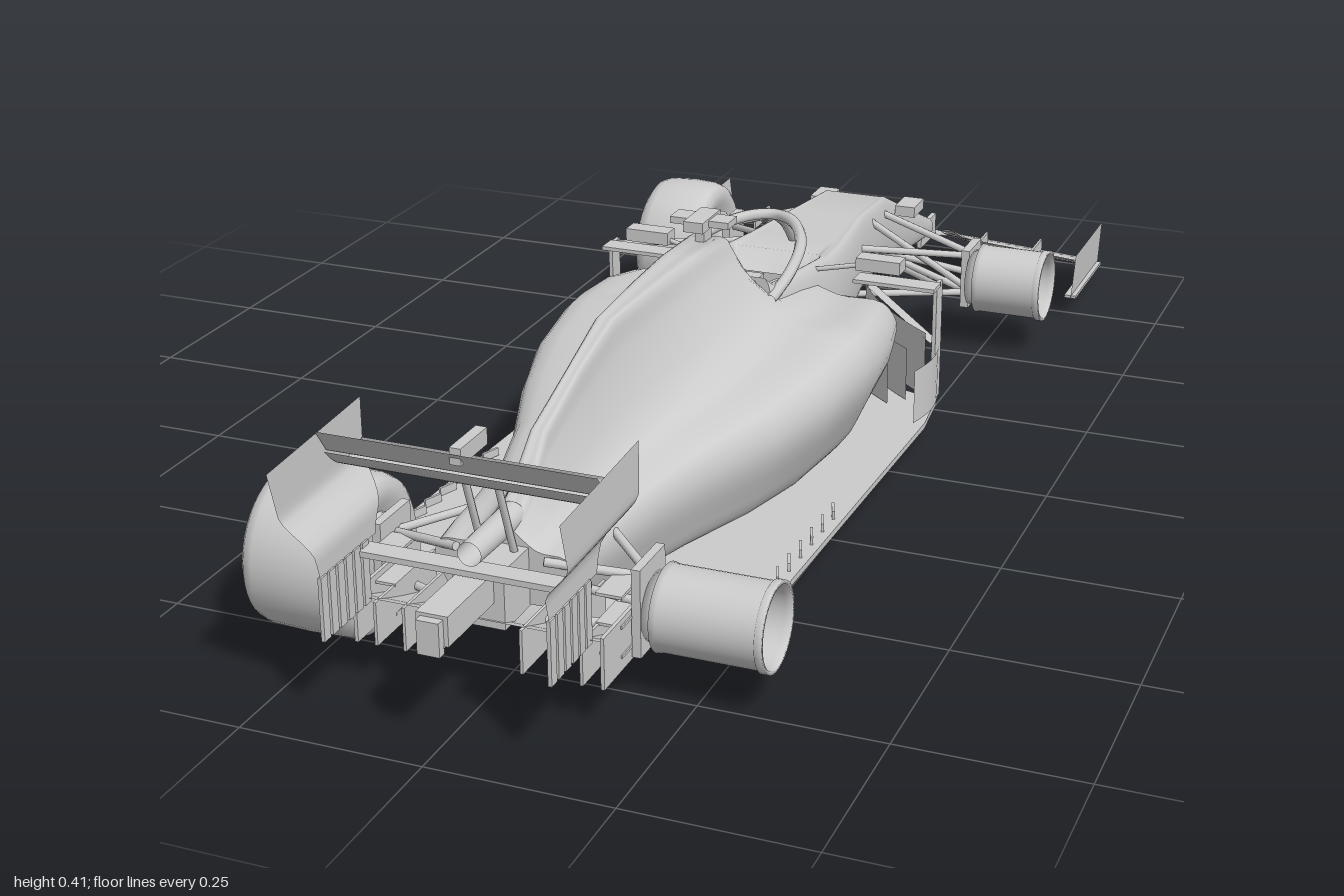
import * as THREE from 'three';
import { ParametricGeometry } from 'three/addons/geometries/ParametricGeometry.js';

const grey = new THREE.MeshStandardMaterial({ color: 0xcccccc, side: THREE.DoubleSide });
grey.name = 'paleGrey';
const lerp = THREE.MathUtils.lerp, smooth = THREE.MathUtils.smoothstep;
const V = (x, y, z) => new THREE.Vector3(x, y, z);

export function createModel() {
  const car = new THREE.Group();
  car.name = 'openWheelRaceCar';
  const add = (name, geo, x = 0, y = 0, z = 0) => {
    const m = new THREE.Mesh(geo, grey);
    m.name = name;
    m.position.set(x, y, z);
    car.add(m);
    return m;
  };
  const box = (name, w, h, d, x, y, z) => add(name, new THREE.BoxGeometry(w, h, d), x, y, z);
  const both = (fn) => [1, -1].forEach(fn);
  const sheet = (name, fn, nu = 8, nv = 8) =>
    add(name, new ParametricGeometry((u, v, t) => t.set(...fn(u, v)), nu, nv));
  // Closed aerofoil: the chord is walked back along the underside, then forward to back on top
  const foil = (name, thick, fn, nu, nv = 16) => sheet(name, (u, v) => {
    const c = Math.abs(2 * v - 1), p = fn(u, c);
    if (v < 0.5) p[1] -= thick * Math.sin(Math.PI * Math.sqrt(c));
    return p;
  }, nu, nv);

  // Straight strut between two points
  const rod = (name, a, b, r = 0.006) => {
    const d = b.clone().sub(a);
    const m = add(name, new THREE.CylinderGeometry(r, r, d.length(), 8), ...a.clone().add(b).multiplyScalar(0.5));
    m.quaternion.setFromUnitVectors(V(0, 1, 0), d.normalize());
  };

  // Symmetric skin over half profiles placed along z
  const loft = (name, sections, profile) => {
    const half = 28, row = 2 * half + 1, pos = [], idx = [];
    const halves = sections.map((s) => {
      const c = new THREE.CatmullRomCurve3(profile(s), false, 'centripetal');
      return Array.from({ length: half + 1 }, (_, i) => c.getPoint(i / half));
    });
    halves.forEach((h, k) => {
      const z = sections[k][0];
      for (let i = 0; i <= half; i++) pos.push(h[i].x, h[i].y, z);
      for (let i = half - 1; i >= 0; i--) pos.push(-h[i].x, h[i].y, z);
      if (k) for (let i = 0; i < row - 1; i++) {
        const a = (k - 1) * row + i, b = a + row;
        idx.push(a, a + 1, b, a + 1, b + 1, b);
      }
    });
    // End caps join the left and right halves
    [0, sections.length - 1].forEach((k) => {
      const base = pos.length / 3;
      for (let i = 0; i < row; i++) pos.push(...pos.slice((k * row + i) * 3, (k * row + i) * 3 + 3));
      for (let i = 0; i < half; i++) {
        const a = base + i, b = base + row - 1 - i;
        const f = [a, b, a + 1, a + 1, b, b - 1];
        idx.push(...(k ? f.reverse() : f));
      }
    });
    const g = new THREE.BufferGeometry();
    g.setAttribute('position', new THREE.Float32BufferAttribute(pos, 3));
    g.setIndex(idx);
    g.computeVertexNormals();
    add(name, g);
  };

  // Nose, tub and cockpit opening: z, half width, bottom, top, centre top
  loft('noseAndTub', [
    [-0.955, 0.03, 0.05, 0.066], [-0.92, 0.046, 0.053, 0.084], [-0.77, 0.053, 0.075, 0.15],
    [-0.6, 0.062, 0.11, 0.225], [-0.45, 0.07, 0.11, 0.238], [-0.3, 0.092, 0.1, 0.243],
    [-0.215, 0.102, 0.09, 0.25], [-0.195, 0.103, 0.09, 0.252, 0.17], [-0.05, 0.107, 0.08, 0.275, 0.16],
    [0.03, 0.1, 0.07, 0.285, 0.17], [0.045, 0.09, 0.07, 0.3],
  ], ([, w, b, t, c = t]) => [V(0, b, 0), V(w * 0.85, b, 0), V(w, lerp(b, t, 0.3), 0),
    V(w * 0.97, lerp(b, t, 0.78), 0), V(w * 0.84, t, 0), V(w * 0.72, t, 0),
    V(w * 0.64, lerp(t, c, 0.8), 0), V(0, c, 0)]);

  // Sidepods and engine cover: z, half width, bottom, shoulder, spine width, spine top, centre top
  loft('sidepodsAndEngineCover', [
    [-0.12, 0.228, 0.1, 0.222, 0.09, 0.245, 0.16], [-0.05, 0.243, 0.07, 0.232, 0.09, 0.265, 0.16],
    [0.03, 0.247, 0.05, 0.235, 0.085, 0.28, 0.17], [0.05, 0.247, 0.05, 0.235, 0.065, 0.31],
    [0.08, 0.246, 0.05, 0.234, 0.045, 0.368], [0.2, 0.23, 0.05, 0.225, 0.038, 0.376],
    [0.32, 0.195, 0.052, 0.212, 0.03, 0.376], [0.45, 0.145, 0.058, 0.2, 0.02, 0.373],
    [0.55, 0.118, 0.064, 0.19, 0.015, 0.34], [0.66, 0.105, 0.075, 0.187, 0.016, 0.298],
    [0.72, 0.1, 0.09, 0.186, 0.02, 0.24], [0.77, 0.095, 0.115, 0.182, 0.022, 0.21],
  ], ([, w, b, s, wt, t, c = t]) => [V(0, b, 0), V(w * 0.75, b, 0), V(w * 0.9, lerp(b, s, 0.3), 0),
    V(w, lerp(b, s, 0.72), 0), V(w * 0.9, s, 0), V(lerp(wt, w, 0.35), lerp(s, t, 0.14), 0),
    V(wt, lerp(s, t, 0.75), 0), V(wt * 0.6, t, 0), V(0, c, 0)]);

  // Floor and plank, tilted nose-down, with edge fins
  const slab = (name, pts, thick, y0) => {
    const shape = new THREE.Shape([...pts, ...pts.map(([x, z]) => [-x, z]).reverse()]
      .map(([x, z]) => new THREE.Vector2(x, z)));
    const g = new THREE.ExtrudeGeometry(shape, { depth: thick, bevelEnabled: false });
    g.rotateX(Math.PI / 2 - 0.029);
    add(name, g, 0, y0, 0);
  };
  slab('floor', [[0.06, -0.4], [0.1, -0.38], [0.14, -0.25], [0.27, -0.2], [0.282, -0.1],
    [0.282, 0.58], [0.26, 0.61], [0.19, 0.62], [0.17, 0.7]], 0.009, 0.047);
  slab('plank', [[0.04, -0.39], [0.075, -0.33], [0.075, 0.6], [0.05, 0.66]], 0.012, 0.042);
  box('splitterKeel', 0.1, 0.09, 0.3, 0, 0.08, -0.22);
  both((s) => {
    for (let i = 0; i < 7; i++)
      box('floorEdgeFin', 0.004, 0.012, 0.03, s * 0.265, 0.062 + i * 0.0012, 0.28 + i * 0.045).rotation.y = s * 0.35;
  });

  // Airbox camera, headrest and halo
  box('cameraPost', 0.014, 0.04, 0.03, 0, 0.38, 0.1);
  box('cameraBar', 0.09, 0.01, 0.035, 0, 0.4, 0.1);
  box('cameraPod', 0.03, 0.016, 0.07, 0, 0.4, 0.105);
  box('headrest', 0.12, 0.06, 0.05, 0, 0.265, 0.035);
  const hoop = [V(0.085, 0.27, 0.05), V(0.09, 0.29, -0.02), V(0.075, 0.307, -0.11), V(0.035, 0.314, -0.18)];
  const haloPath = new THREE.CatmullRomCurve3([...hoop, V(0, 0.314, -0.2),
    ...hoop.map((p) => V(-p.x, p.y, p.z)).reverse()]);
  add('haloHoop', new THREE.TubeGeometry(haloPath, 48, 0.009, 8));
  add('haloPillar', new THREE.TubeGeometry(new THREE.CatmullRomCurve3(
    [V(0, 0.312, -0.2), V(0, 0.285, -0.245), V(0, 0.24, -0.29)]), 12, 0.007, 8));

  // Front wing: four stacked elements each side
  const wingBack = (x) => lerp(-0.91, -0.785, smooth(x, 0.04, 0.15)) + 0.05 * Math.max(0, (x - 0.1) / 0.25);
  both((s) => {
    [[0, 0.4], [0.4, 0.61], [0.61, 0.81], [0.81, 1]].forEach(([v0, v1], i) =>
      foil('frontWingElement', i ? 0.003 : 0.007, (u, v) => {
        const x = lerp(i ? 0.07 : 0, 0.352, u), c = lerp(v0, v1, v);
        const y = 0.038 + 0.056 * c ** 1.4 * smooth(x, 0.02, 0.13) + i * 0.004;
        return [s * x, y, lerp(-1 + 0.18 * x, wingBack(x), c)];
      }, 20, 12));
    sheet('frontEndplate', (u, v) => [s * lerp(0.352, 0.358, v), lerp(0.033, 0.113, v),
      lerp(lerp(-0.938, -0.93, v), -0.735, u)], 4, 4);
    box('frontEndplateFoot', 0.02, 0.005, 0.19, s * 0.35, 0.035, -0.835);
    box('wingPylon', 0.008, 0.04, 0.09, s * 0.034, 0.06, -0.92);
    [0.16, 0.26].forEach((x) => box('flapBracket', 0.004, 0.02, 0.08, s * x, 0.075, -0.84));
    box('noseCamera', 0.035, 0.018, 0.055, s * 0.077, 0.19, -0.665);
    box('noseCameraStalk', 0.03, 0.006, 0.02, s * 0.058, 0.187, -0.665);
  });

  // Rear wing, endplates, pylons and tail
  foil('rearWingMainPlane', 0.008, (u, v) => [lerp(-0.185, 0.185, u),
    0.308 + 0.017 * v - 0.075 * v * (1 - v), 0.78 + 0.09 * v], 2, 28);
  foil('rearWingFlap', 0.003, (u, v) => [lerp(-0.185, 0.185, u), 0.325 + 0.035 * v, 0.864 + 0.026 * v ** 1.2], 2, 16);
  box('flapActuator', 0.015, 0.022, 0.07, 0, 0.355, 0.85);
  both((s) => {
    sheet('rearEndplate', (u, v) => {
      const y = lerp(0.2, 0.355, v);
      return [s * lerp(0.15, 0.187, smooth(y, 0.23, 0.29)), y + 0.006 * (1 - 2 * u) * v,
        lerp(lerp(0.82, 0.775, smooth(v, 0, 0.6)), lerp(0.955, 0.998, v), u)];
    }, 2, 14);
    for (let i = 0; i < 6; i++) box('endplateFringe', 0.005, 0.085, 0.015, s * 0.15, 0.16, 0.85 + i * 0.02);
    rod('rearWingPylon', V(s * 0.022, 0.18, 0.78), V(s * 0.022, 0.292, 0.82), 0.005);
    [0.06, 0.1, 0.14].forEach((x) => box('diffuserStrake', 0.004, 0.06, 0.16, s * x, 0.09, 0.77));
    box('diffuserSide', 0.005, 0.07, 0.17, s * 0.168, 0.095, 0.765);
  });
  box('rearBeam', 0.3, 0.008, 0.03, 0, 0.192, 0.85);
  sheet('diffuser', (u, v) => [lerp(-0.17, 0.17, u), 0.062 + 0.063 * v ** 1.3, lerp(0.66, 0.85, v)], 2, 8);
  box('gearboxCasing', 0.07, 0.08, 0.1, 0, 0.15, 0.79);
  box('crashStructure', 0.042, 0.04, 0.16, 0, 0.165, 0.88);
  box('rearLight', 0.03, 0.045, 0.012, 0, 0.158, 0.966);
  const exhaust = add('exhaust', new THREE.CylinderGeometry(0.016, 0.018, 0.12, 20, 1, true), 0, 0.216, 0.8);
  exhaust.rotation.x = Math.PI / 2;

  // Bargeboards, deflectors and mirrors
  both((s) => {
    for (let i = 0; i < 3; i++) sheet('bargeboard', (u, v) => [
      s * (lerp(0.09, 0.25, u * u * 0.5 + u * 0.5) - i * 0.022), lerp(0.045, 0.15 - i * 0.02, v),
      lerp(-0.39, -0.2, u) + i * 0.025], 8, 2);
    sheet('upperVane', (u, v) => [s * lerp(0.1, 0.262, u), lerp(0.15, 0.14, u),
      lerp(-0.39, -0.21, u) + 0.025 * v], 6, 2);
    sheet('sideDeflector', (u, v) => [s * (0.268 + 0.012 * Math.sin(u * 3)), lerp(0.05, 0.135, v),
      lerp(-0.215, -0.08, u)], 8, 2);
    box('deflectorPost', 0.006, 0.19, 0.03, s * 0.27, 0.145, -0.19);
    box('deflectorArm', 0.13, 0.006, 0.035, s * 0.21, 0.238, -0.17);
    rod('deflectorBrace', V(s * 0.27, 0.235, -0.19), V(s * 0.11, 0.2, -0.38), 0.005);
    box('mirror', 0.07, 0.02, 0.03, s * 0.19, 0.273, -0.15);
    rod('mirrorStalk', V(s * 0.16, 0.268, -0.15), V(s * 0.09, 0.255, -0.14), 0.004);
  });

  // Wheels: rims on both sides, tyres fitted on the right side only
  const turned = (name, pts, x, y, z, s) => {
    const m = add(name, new THREE.LatheGeometry(pts.map(([r, h]) => new THREE.Vector2(r, h)), 40), x, y, z);
    m.rotation.z = -s * Math.PI / 2;
  };
  const wheel = (s, z, inner, outer) => {
    const w = outer - inner, y = 0.116;
    turned('rim', [[0.052, 0], [0.058, 0], [0.056, 0.008], [0.056, w - 0.012], [0.059, w - 0.01],
      [0.059, w], [0.054, w], [0.052, w - 0.01], [0.052, 0]], s * inner, y, z, s);
    turned('hub', [[0, 0.05], [0.016, 0.05], [0.018, 0.02], [0.046, 0.004], [0.046, -0.015], [0, -0.015]],
      s * inner, y, z, s);
    for (let i = 0; i < 10; i++) {
      const spoke = box('spoke', 0.008, 0.042, 0.007, s * (inner + 0.04), y, z);
      spoke.rotation.x = i * Math.PI / 5;
      spoke.translateY(0.033);
    }
    if (s < 0) turned('tyre', [[0.057, 0.01], [0.075, 0.001], [0.093, 0], [0.104, 0.008], [0.109, 0.022],
      [0.111, w * 0.5], [0.109, w - 0.018], [0.104, w - 0.004], [0.093, w + 0.004], [0.075, w + 0.003],
      [0.057, w - 0.006], [0.057, 0.01]], s * inner, 0.113, z, s);
  };

  // Suspension arms and brake ducts
  both((s) => {
    wheel(s, -0.563, 0.236, 0.35);
    wheel(s, 0.723, 0.198, 0.346);
    [[0.05, 0.205, -0.58, 0.155], [0.06, 0.2, -0.4, 0.15], [0.05, 0.125, -0.6, 0.085],
      [0.06, 0.12, -0.4, 0.085], [0.05, 0.16, -0.52, 0.12], [0.05, 0.22, -0.5, 0.09]].forEach(([x, y, z, yo]) =>
      rod('frontWishbone', V(s * x, y, z), V(s * 0.215, yo, -0.57)));
    [[0.06, 0.18, 0.62, 0.155], [0.06, 0.18, 0.78, 0.155], [0.06, 0.1, 0.6, 0.09], [0.06, 0.1, 0.78, 0.09],
      [0.05, 0.13, 0.73, 0.117]].forEach(([x, y, z, yo]) =>
      rod('rearWishbone', V(s * x, y, z), V(s * 0.18, yo, 0.725)));
    box('frontBrakeDuct', 0.014, 0.1, 0.07, s * 0.215, 0.118, -0.575);
    box('rearBrakeDuct', 0.012, 0.12, 0.08, s * 0.178, 0.125, 0.73);
    [0.08, 0.12, 0.16].forEach((y) => box('rearDuctWinglet', 0.035, 0.004, 0.06, s * 0.155, y, 0.77));
  });

  return car;
}
